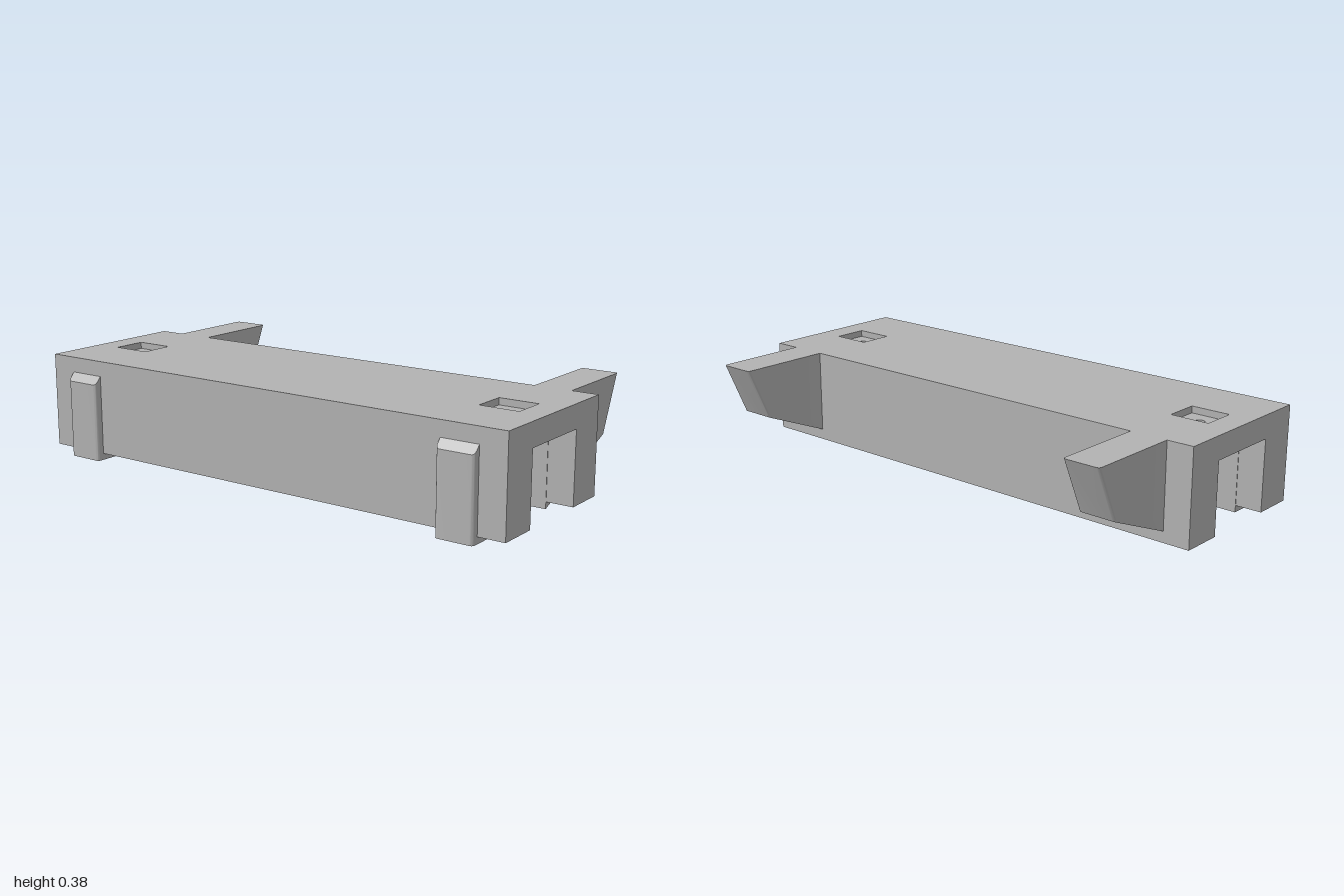
import * as THREE from 'three';
import { toCreasedNormals } from 'three/addons/utils/BufferGeometryUtils.js';

const grey = new THREE.MeshStandardMaterial({ color: 0xb2b2b2 });
grey.name = 'plain grey';

// Plan outlines are drawn in (x, -z) so that extruding goes upwards.
function rect(x0, x1, z0, z1, Type = THREE.Shape) {
  return new Type([[x0, -z0], [x0, -z1], [x1, -z1], [x1, -z0]].map(p => new THREE.Vector2(...p)));
}

function circle(x, z, r, Type = THREE.Path) {
  return new Type().absarc(x, -z, r, 0, Math.PI * 2, false);
}

// Rectangle with the two corners at the z1 end rounded
function roundedEnd(x0, x1, z0, z1, r) {
  const s = new THREE.Shape();
  const d = Math.sign(z1 - z0) * r;
  s.moveTo(x0, -z0);
  s.lineTo(x0, -(z1 - d));
  s.quadraticCurveTo(x0, -z1, x0 + r, -z1);
  s.lineTo(x1 - r, -z1);
  s.quadraticCurveTo(x1, -z1, x1, -(z1 - d));
  s.lineTo(x1, -z0);
  return s;
}

// Extrudes a plan outline from y0 to y1; bend may move each vertex by a rule
function slab(name, shape, y0, y1, holes = [], bend) {
  shape.holes.push(...holes);
  let geo = new THREE.ExtrudeGeometry(shape, { depth: y1 - y0, bevelEnabled: false, curveSegments: 8 });
  geo.rotateX(-Math.PI / 2).translate(0, y0, 0);
  if (bend) {
    const p = geo.attributes.position;
    const v = new THREE.Vector3();
    for (let i = 0; i < p.count; i++) {
      v.fromBufferAttribute(p, i);
      bend(v, v.y > (y0 + y1) / 2);
      p.setXYZ(i, v.x, v.y, v.z);
    }
  }
  geo = toCreasedNormals(geo, 0.5);
  const mesh = new THREE.Mesh(geo, grey);
  mesh.name = name;
  return mesh;
}

export function createModel() {
  const model = new THREE.Group();
  model.name = 'mountingChannel';
  const sides = [-1, 1];
  const front = 0.473, back = -0.137, inFront = 0.317, inBack = 0.02;
  const roofY = 0.295, topY = 0.383, floorY = 0.358;
  const bx = 0.827, bw = 0.0715, bz = 0.168, holeR = 0.017;

  // Channel roof: square pockets above, round through holes below
  const body = new THREE.Group();
  body.name = 'channelBody';
  body.add(
    slab('roofTop', rect(-1, 1, back, front), floorY, topY,
      sides.map(s => rect(s * bx - 0.075, s * bx + 0.075, 0.102, 0.233, THREE.Path))),
    slab('roof', rect(-1, 1, back, front), roofY, floorY,
      sides.map(s => circle(s * bx, bz, holeR))));

  // Front and back walls with blind holes in their bottom faces
  for (const [name, z0, z1] of [['frontWall', inFront, front], ['backWall', back, inBack]]) {
    body.add(
      slab(name + 'Lower', rect(-1, 1, z0, z1), 0.025, 0.125,
        sides.map(s => circle(s * 0.56, (z0 + z1) / 2, holeR))),
      slab(name + 'Upper', rect(-1, 1, z0, z1), 0.125, roofY));
  }
  model.add(body);

  // Two brackets that wrap round the channel and reach out behind it
  for (const s of sides) {
    const bracket = new THREE.Group();
    bracket.name = s > 0 ? 'leftBracket' : 'rightBracket';
    const x0 = s * bx - bw, x1 = s * bx + bw;
    const underside = z => Math.max(0, (inBack - z) * 0.4186);

    bracket.add(
      // front strip with rounded edges and a chamfered top
      slab('frontStrip', roundedEnd(x0, x1, 0.45, 0.5, 0.014), 0, 0.3, [], (v, top) => {
        if (top) v.y = 0.325 - (v.z - front) * 1.1;
      }),
      slab('frontFoot', rect(x0, x1, inFront - 0.002, 0.46), 0, 0.293),
      // lining and boss under the roof
      slab('roofLining', rect(x0, x1, inBack, inFront), 0.293, roofY, [circle(s * bx, bz, holeR)]),
      slab('boss', circle(s * bx, bz, 0.041, THREE.Shape), 0.262, 0.294, [circle(s * bx, bz, holeR)]),
      // lining and sloping foot at the back wall
      slab('backLining', rect(x0, x1, 0.012, inBack + 0.002), 0.02, 0.293),
      slab('backFoot', rect(x0, x1, -0.04, inBack + 0.002), 0, 0.026, [], (v, top) => {
        if (!top) v.y = underside(v.z);
      }),
      // rear arm: sloping underside and leaning, rounded end
      slab('rearArm', roundedEnd(x0, x1, back, -0.5, 0.014), 0, topY, [], (v, top) => {
        if (top) return;
        if (v.z < -0.4) v.z += 0.09;
        v.y = underside(v.z);
      }));
    model.add(bracket);
  }
  return model;
}
